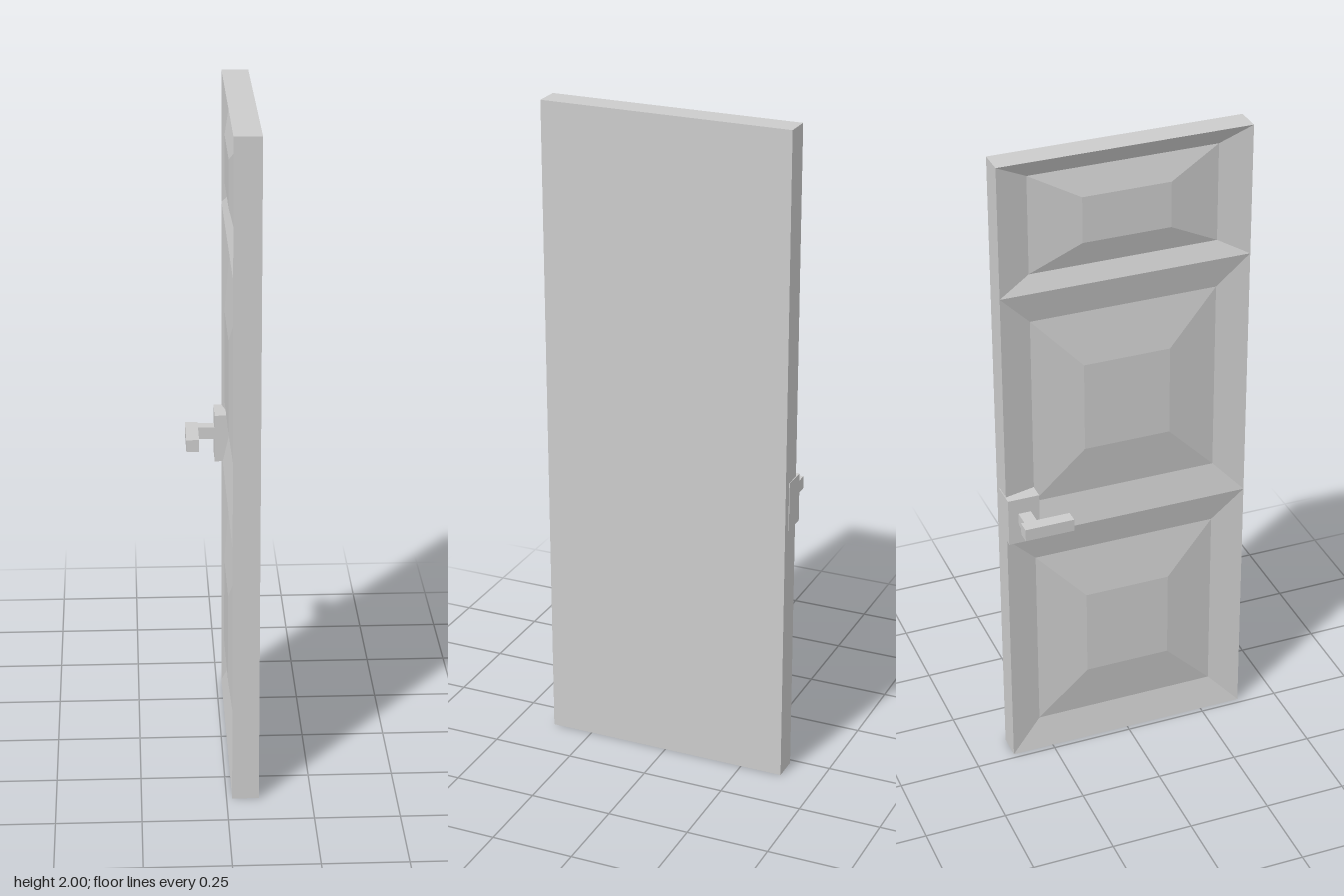
import * as THREE from 'three';

const material = new THREE.MeshStandardMaterial({ color: 0xcccccc, flatShading: true });
const BACK_X = 0.095, FACE_X = 0.0165, HALF_WIDTH = 0.379;

// Rectangle at depth x, inset by a fraction of the block's width and height
function ring(x, inset, y0, y1) {
  const z = HALF_WIDTH * (1 - 2 * inset);
  const dy = (y1 - y0) * inset;
  return [[x, y0 + dy, -z], [x, y0 + dy, z], [x, y1 - dy, z], [x, y1 - dy, -z]];
}

// Door block: flat on the +x side, bevelled groove and raised field on the -x side
function panelBlock(y0, y1) {
  const rings = [
    ring(BACK_X, 0, y0, y1),
    ring(FACE_X, 0, y0, y1),
    ring(FACE_X + 0.023, 0.125, y0, y1),
    ring(FACE_X - 0.0015, 0.325, y0, y1),
  ];
  const positions = [];
  const quad = (a, b, c, d) => positions.push(...a, ...b, ...c, ...a, ...c, ...d);
  for (let r = 0; r < rings.length - 1; r++) {
    for (let i = 0; i < 4; i++) {
      const j = (i + 1) % 4;
      quad(rings[r][i], rings[r][j], rings[r + 1][j], rings[r + 1][i]);
    }
  }
  quad(...rings[3]);
  quad(...[...rings[0]].reverse());
  const geometry = new THREE.BufferGeometry();
  geometry.setAttribute('position', new THREE.Float32BufferAttribute(positions, 3));
  geometry.computeVertexNormals();
  return geometry;
}

// Box given by its extents on each axis
function boxBetween([x0, x1], [y0, y1], [z0, z1]) {
  return new THREE.BoxGeometry(x1 - x0, y1 - y0, z1 - z0)
    .translate((x0 + x1) / 2, (y0 + y1) / 2, (z0 + z1) / 2);
}

function addPart(parent, name, geometry) {
  const mesh = new THREE.Mesh(geometry, material);
  mesh.name = name;
  parent.add(mesh);
}

export function createModel() {
  const model = new THREE.Group();
  model.name = 'door';

  // Three stacked panels, the top one half as tall
  addPart(model, 'lowerPanel', panelBlock(0, 0.8));
  addPart(model, 'middlePanel', panelBlock(0.8, 1.6));
  addPart(model, 'upperPanel', panelBlock(1.6, 2));

  // Lock plate, stem and lever
  const handle = new THREE.Group();
  handle.name = 'handle';
  addPart(handle, 'lockPlate', boxBetween([-0.008, 0.07], [0.8, 0.95], [-0.381, -0.285]));
  addPart(handle, 'stem', boxBetween([-0.06, -0.008], [0.863, 0.901], [-0.35, -0.312]));
  addPart(handle, 'lever', boxBetween([-0.097, -0.058], [0.863, 0.901], [-0.36, -0.21]));
  model.add(handle);

  return model;
}
